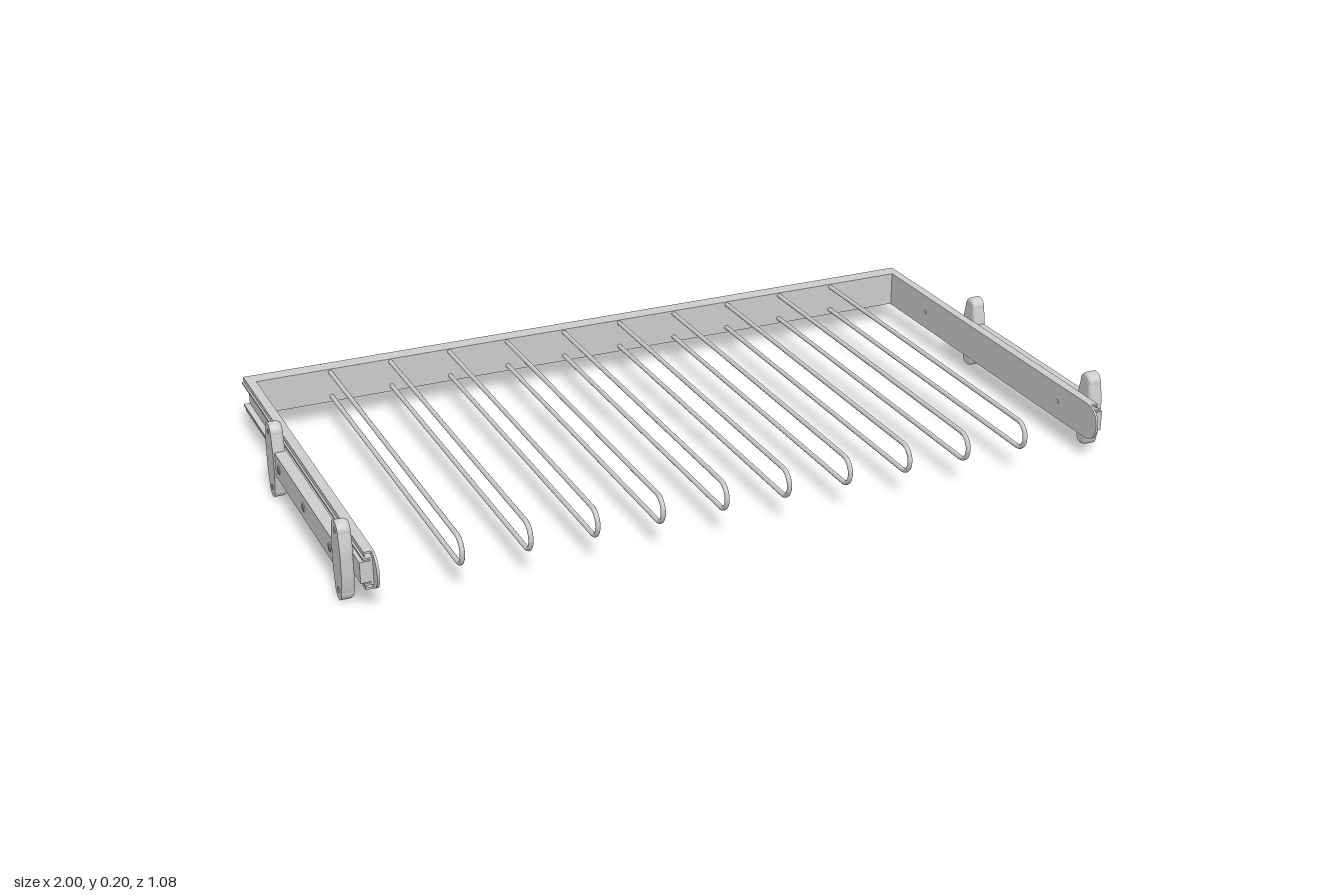
import * as THREE from 'three';

const MID = 0.1;            // height of the rail centre line
const BACK = -0.54, FRONT = 0.54;
const mat = new THREE.MeshStandardMaterial({ color: 0xcccccc, roughness: 0.6 });

function add(parent, name, geometry, x = 0, y = 0, z = 0) {
  const mesh = new THREE.Mesh(geometry, mat);
  mesh.name = name;
  mesh.position.set(x, y, z);
  parent.add(mesh);
  return mesh;
}

// Box given by its limits on each axis
function block(parent, name, x0, x1, y0, y1, z0, z1) {
  return add(parent, name, new THREE.BoxGeometry(x1 - x0, y1 - y0, z1 - z0),
    (x0 + x1) / 2, (y0 + y1) / 2, (z0 + z1) / 2);
}

// Extrudes a (z, y) outline from x = 0 towards -x
function sideExtrude(shape, options) {
  const geometry = new THREE.ExtrudeGeometry(shape, { curveSegments: 16, bevelEnabled: false, ...options });
  return geometry.rotateY(-Math.PI / 2);
}

// Side cover outline: square at the back, rounded at the front
function coverShape() {
  const s = new THREE.Shape();
  s.moveTo(BACK, 0.053);
  s.lineTo(0.5, 0.053);
  s.bezierCurveTo(0.525, 0.057, FRONT, 0.075, FRONT, MID);
  s.bezierCurveTo(FRONT, 0.125, 0.525, 0.143, 0.5, 0.147);
  s.lineTo(BACK, 0.147);
  s.closePath();
  return s;
}

// Mounting lug outline: wide waist, two rounded ears with screw holes
function lugShape() {
  const s = new THREE.Shape();
  s.moveTo(0.033, -0.025);
  s.lineTo(0.033, 0.025);
  s.quadraticCurveTo(0.031, 0.045, 0.024, 0.074);
  s.absarc(0, 0.075, 0.024, 0, Math.PI, false);
  s.quadraticCurveTo(-0.031, 0.045, -0.033, 0.025);
  s.lineTo(-0.033, -0.025);
  s.quadraticCurveTo(-0.031, -0.045, -0.024, -0.074);
  s.absarc(0, -0.075, 0.024, Math.PI, Math.PI * 2, false);
  s.quadraticCurveTo(0.031, -0.045, 0.033, -0.025);
  for (const y of [-0.075, 0.075]) {
    const hole = new THREE.Path();
    hole.absarc(0, y, 0.007, 0, Math.PI * 2, true);
    s.holes.push(hole);
  }
  return s;
}

function disc(parent, name, radius, depth, x, z) {
  add(parent, name, new THREE.CylinderGeometry(radius, radius, depth, 16).rotateZ(Math.PI / 2), x, MID, z);
}

function createSide() {
  const side = new THREE.Group();

  // Cover panel with rounded front, folded into a channel on the outside
  add(side, 'coverPanel', sideExtrude(coverShape(), { depth: 0.006 }), 0.94);
  block(side, 'coverTopFlange', 0.938, 0.958, 0.142, 0.147, BACK, 0.505);
  block(side, 'coverBottomFlange', 0.938, 0.958, 0.053, 0.058, BACK, 0.505);
  block(side, 'coverTopLip', 0.955, 0.958, 0.136, 0.147, BACK, 0.505);
  block(side, 'coverBottomLip', 0.955, 0.958, 0.053, 0.064, BACK, 0.505);

  // Moving slide channel inside the cover
  block(side, 'slideWeb', 0.94, 0.946, 0.066, 0.134, BACK, 0.51);
  block(side, 'slideTopFlange', 0.944, 0.962, 0.129, 0.134, BACK, 0.51);
  block(side, 'slideBottomFlange', 0.944, 0.962, 0.066, 0.071, BACK, 0.51);

  // Bearing member and fixed rail carried by the lugs
  block(side, 'bearingMember', 0.944, 0.97, 0.074, 0.126, -0.15, 0.51);
  block(side, 'fixedRail', 0.966, 0.996, 0.069, 0.131, -0.14, 0.44);

  for (const z of [0.43, -0.13]) {
    const lug = new THREE.Group();
    lug.name = 'mountingLug';
    lug.position.set(1, MID, z);
    add(lug, 'lugPlate', sideExtrude(lugShape(), { depth: 0.017 }));
    add(lug, 'lugRoundedBack', sideExtrude(lugShape(), {
      depth: 0.008, bevelEnabled: true, bevelThickness: 0.012,
      bevelSize: 0.01, bevelOffset: -0.01, bevelSegments: 4,
    }), -0.013);
    side.add(lug);
  }

  // Rivets on the fixed rail and screw heads on the panel
  for (const z of [0.365, 0.15, -0.065]) {
    add(side, 'rivetRing', new THREE.TorusGeometry(0.009, 0.0025, 6, 20).rotateY(Math.PI / 2), 0.996, MID, z);
    disc(side, 'rivet', 0.005, 0.004, 0.997, z);
  }
  disc(side, 'rearRivet', 0.006, 0.004, 0.947, -0.305);
  for (const z of [0.365, -0.305]) disc(side, 'panelScrew', 0.006, 0.003, 0.9335, z);
  return side;
}

// Hairpin rod lying in a vertical plane
function hairpinGeometry() {
  const low = 0.07, high = 0.139, r = (high - low) / 2, zc = 0.528 - r, zb = -0.505;
  const path = new THREE.CurvePath();
  const v = (y, z) => new THREE.Vector3(0, y, z);
  const k = r * 0.5523, mid = (low + high) / 2;
  path.add(new THREE.LineCurve3(v(low, zb), v(low, zc)));
  path.add(new THREE.CubicBezierCurve3(v(low, zc), v(low, zc + k), v(mid - k, zc + r), v(mid, zc + r)));
  path.add(new THREE.CubicBezierCurve3(v(mid, zc + r), v(mid + k, zc + r), v(high, zc + k), v(high, zc)));
  path.add(new THREE.LineCurve3(v(high, zc), v(high, zb)));
  return new THREE.TubeGeometry(path, 240, 0.006, 10, false);
}

export function createModel() {
  const model = new THREE.Group();
  model.name = 'pullOutHangerRack';

  // Rear cross beam
  block(model, 'backBeam', -0.937, 0.937, 0.055, 0.147, BACK, -0.497);

  // Row of hanging rods
  const hairpin = hairpinGeometry();
  for (let i = 0; i < 10; i++) add(model, 'hangingRod', hairpin, -0.003 + (i - 4.5) * 0.1635);

  // Mirrored slide rails
  const left = createSide();
  left.name = 'leftRail';
  const right = createSide();
  right.name = 'rightRail';
  right.scale.x = -1;
  model.add(left, right);
  return model;
}
